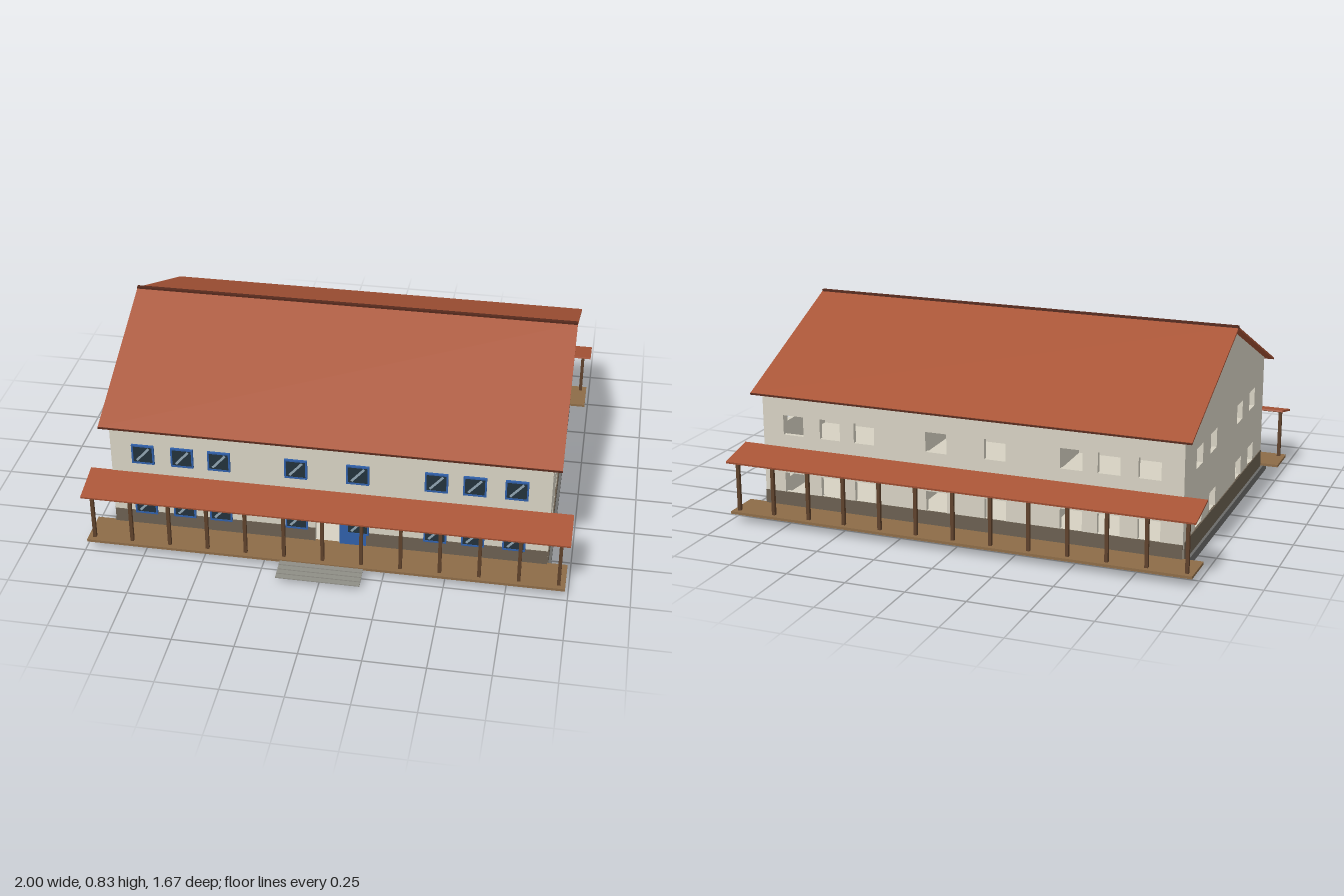
import * as THREE from 'three';

const paint = (color, side = THREE.FrontSide) => new THREE.MeshStandardMaterial({ color, side });

export function createModel() {
  const group = new THREE.Group();
  const body = new THREE.Group();
  body.name = 'house';
  body.position.x = -0.0025;
  group.add(body);

  const wallMat = paint(0xd6d1c2), roofMat = paint(0xa85436), trimMat = paint(0x55291c);
  const skirtMat = paint(0x6a5f50), deckMat = paint(0x8c6b47), postMat = paint(0x5e412b);
  const baseMat = paint(0x6a6a68), stepMat = paint(0x8f8e86), blueMat = paint(0x2f5fa8);
  const glassMat = paint(0x22313b), glintMat = paint(0x8fa3b0);

  const MID = -0.045;                 // z of the ridge; porches mirror about it
  const HX = 0.9075, HZ = 0.629;      // half size of the walls
  const T = 0.02;                     // wall thickness
  const EAVE = 0.545, PEAK = 0.818;
  const colX = [-0.77, -0.605, -0.45, -0.13, 0.125, 0.445, 0.6, 0.768];
  const rowY = [0.147, 0.397];
  const sideZ = [0.38, 0.168, -0.252, -0.46];

  const add = (name, geo, mat, parent = body) => {
    const mesh = new THREE.Mesh(geo, mat);
    mesh.name = name;
    parent.add(mesh);
    return mesh;
  };
  // box given by its min and max corners
  const box = (name, mat, x0, x1, y0, y1, z0, z1, parent) => {
    const m = add(name, new THREE.BoxGeometry(x1 - x0, y1 - y0, z1 - z0), mat, parent);
    m.position.set((x0 + x1) / 2, (y0 + y1) / 2, (z0 + z1) / 2);
    return m;
  };
  const polygon = pts => new THREE.Shape(pts.map(p => new THREE.Vector2(...p)));
  const cut = (shape, x0, x1, y0, y1) => shape.holes.push(
    new THREE.Path([[x0, y0], [x0, y1], [x1, y1], [x1, y0]].map(p => new THREE.Vector2(...p))));
  const extrude = (shape, depth) => new THREE.ExtrudeGeometry(shape, { depth, bevelEnabled: false });
  // sloping slab between two (z, y) points, spanning the width in x
  const slab = (name, mat, halfX, a, b, thick, parent) => {
    const m = box(name, mat, -halfX, halfX, -thick, 0,
      0, Math.hypot(b[0] - a[0], b[1] - a[1]), parent);
    m.geometry.translate(...m.position.toArray());
    m.position.set(0, a[1], a[0]);
    m.rotation.x = -Math.atan2(b[1] - a[1], b[0] - a[0]);
    return m;
  };

  // foundation and floors
  box('foundation', baseMat, -0.9225, 0.9225, 0, 0.035, -0.687, 0.641);
  box('groundFloor', wallMat, -HX + T, HX - T, 0.035, 0.04, MID - HZ + T, MID + HZ - T);
  box('upperFloor', wallMat, -HX + T, HX - T, 0.245, 0.255, MID - HZ + T, MID + HZ - T);

  // front wall with doorway, back wall with window openings
  const rect = () => polygon([[-HX, 0.035], [HX, 0.035], [HX, EAVE], [-HX, EAVE]]);
  const front = rect();
  cut(front, -0.053, 0.047, 0.045, 0.195);
  add('frontWall', extrude(front, T), wallMat).position.z = MID + HZ - T;
  const back = rect();
  for (const x of colX) for (const y of rowY) cut(back, x - 0.046, x + 0.046, y - 0.042, y + 0.042);
  add('backWall', extrude(back, T), wallMat).position.z = MID - HZ;

  // gable walls with window openings
  for (const s of [-1, 1]) {
    const gable = polygon([[MID - HZ, 0.035], [MID + HZ, 0.035], [MID + HZ, EAVE],
      [MID, PEAK], [MID - HZ, EAVE]]);
    for (const z of sideZ) for (const y of rowY) {
      cut(gable, z - 0.047, z + 0.047, y - 0.037, y + 0.045);
    }
    const m = add('gableWall', extrude(gable, T), wallMat);
    m.rotation.y = -Math.PI / 2;
    m.position.x = s > 0 ? HX : -HX + T;
    box('sideSkirt', skirtMat, s * HX - 0.004, s * HX + 0.004, 0.035, 0.11, -0.66, 0.573);
    // inner cross walls
    box('crossWall', wallMat, s * 0.3 - 0.008, s * 0.3 + 0.008, 0.04, EAVE, MID - HZ + T, MID + HZ - T);
    // corridor walls
    const z = MID + s * 0.12;
    box('corridorWall', wallMat, -HX + T, HX - T, 0.04, EAVE, z - 0.008, z + 0.008);
  }

  // skirting on the long walls, open at the entrance
  const zf = MID + HZ, zb = MID - HZ;
  box('frontSkirt', skirtMat, -HX, -0.053, 0.035, 0.11, zf - 0.003, zf + 0.003);
  box('frontSkirt', skirtMat, 0.16, HX, 0.035, 0.11, zf - 0.003, zf + 0.003);
  box('backSkirt', skirtMat, -HX, HX, 0.035, 0.105, zb - 0.003, zb + 0.003);

  // door leaf opened flat against the wall
  box('doorLeaf', blueMat, 0.05, 0.16, 0.045, 0.192, zf - 0.002, zf + 0.005);

  // glazed front windows with blue frames
  const makeWindow = (x, y) => {
    const w = new THREE.Group();
    w.name = 'frontWindow';
    w.position.set(x, y, zf);
    body.add(w);
    const frame = polygon([[-0.047, -0.044], [0.047, -0.044], [0.047, 0.044], [-0.047, 0.044]]);
    cut(frame, -0.04, 0.04, -0.037, 0.037);
    add('windowFrame', extrude(frame, 0.01), blueMat, w);
    box('windowGlass', glassMat, -0.04, 0.04, -0.037, 0.037, 0, 0.007, w);
    const glint = box('windowGlint', glintMat, -0.005, 0.005, -0.04, 0.04, 0.006, 0.008, w);
    glint.rotation.z = -0.72;
  };
  for (const x of colX) for (const y of rowY) makeWindow(x, y);

  // main roof, ridge cap and eave trim
  for (const s of [-1, 1]) {
    const eave = [MID + s * 0.664, 0.532], ridge = [MID, 0.825];
    const [a, b] = s > 0 ? [ridge, eave] : [eave, ridge];
    slab('roofSlope', roofMat, 0.9425, a, b, 0.008);
    box('eaveTrim', trimMat, -0.9425, 0.9425, 0.524, 0.53, eave[0] - 0.003, eave[0] + 0.003);
  }
  box('ridgeCap', trimMat, -0.9425, 0.9425, 0.815, 0.83, MID - 0.008, MID + 0.008);

  // porches at front and back
  for (const s of [-1, 1]) {
    const porch = new THREE.Group();
    porch.name = s > 0 ? 'frontPorch' : 'backPorch';
    porch.position.z = MID;
    body.add(porch);
    const inner = [s * 0.627, 0.302], outer = [s * 0.79, 0.264];
    const [a, b] = s > 0 ? [inner, outer] : [outer, inner];
    slab('porchRoof', roofMat, 1, a, b, 0.008, porch);
    const d = [s * 0.622, s * 0.785].sort((p, q) => p - q);
    box('porchDeck', deckMat, -0.99, 0.99, 0.036, 0.047, d[0], d[1], porch);
    for (let i = 0; i < 13; i++) {
      const x = (i - 6) * 0.1605, z = s * 0.757;
      box('porchPost', postMat, x - 0.007, x + 0.007, 0.045, 0.264, z - 0.007, z + 0.007, porch);
    }
    box('porchBeam', postMat, -0.97, 0.97, 0.254, 0.264, s * 0.757 - 0.006, s * 0.757 + 0.006, porch);
  }

  // entrance steps: thin treads descending forward
  for (let i = 0; i < 4; i++) {
    const y = 0.042 - i * 0.0045, z = 0.74 + i * 0.0235;
    box('step', stepMat, -0.173, 0.173, y - 0.004, y, z - 0.002, z + 0.0235);
  }
  return group;
}
